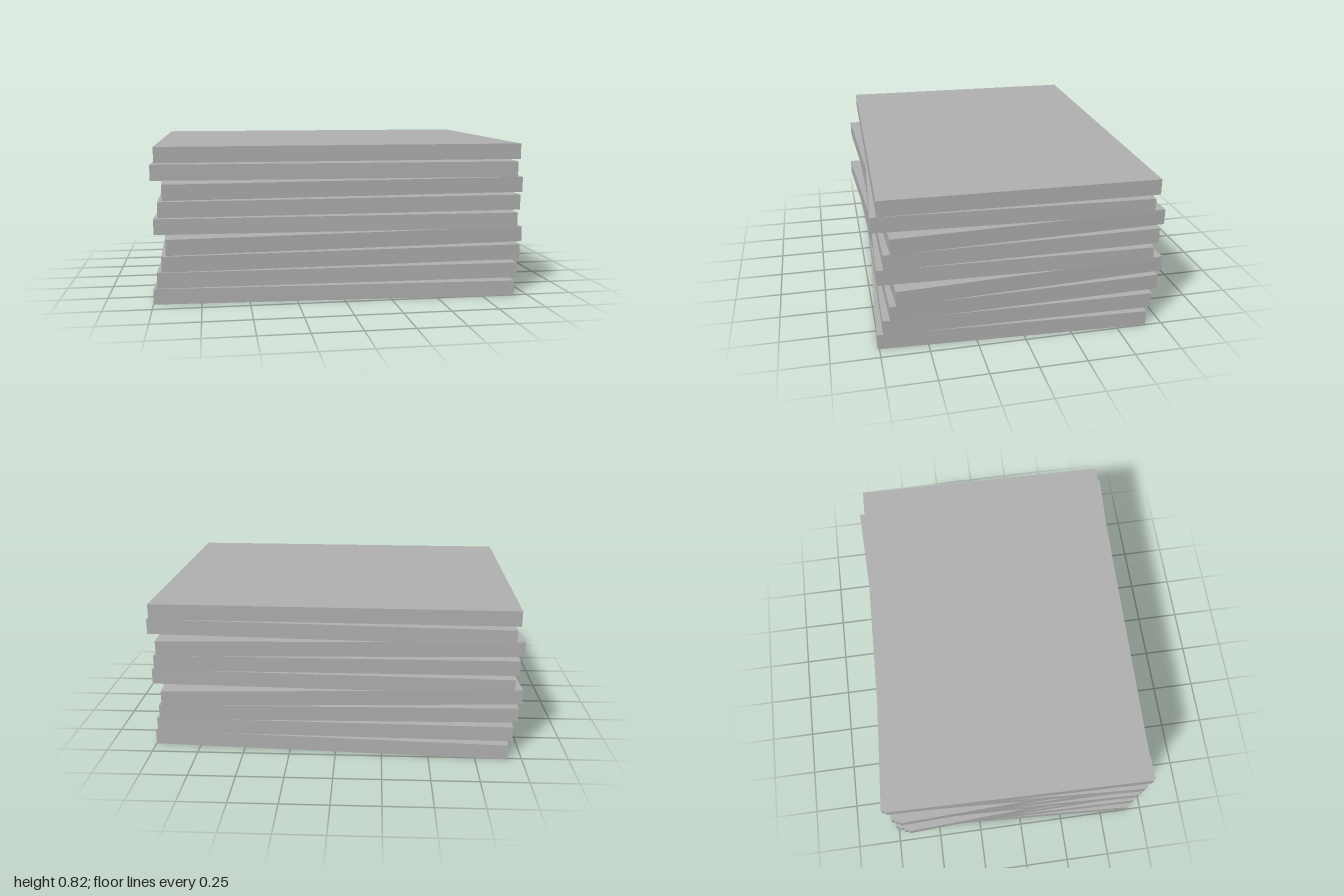
import * as THREE from 'three';

export function createModel() {
  const group = new THREE.Group();
  group.name = 'slabStack';

  const grey = new THREE.MeshStandardMaterial({ color: 0xb0b0b0 });
  grey.name = 'plain grey';

  // One slab, stacked with narrow gaps
  const thickness = 0.082;
  const pitch = 0.0926;
  const slab = new THREE.BoxGeometry(1.925, thickness, 1.422);

  // Slight twist of each slab in degrees, bottom to top
  const twists = [-3, -1.1, 1.1, 3, -2, 0, 2, -3, -1.1];
  twists.forEach((degrees, i) => {
    const mesh = new THREE.Mesh(slab, grey);
    mesh.name = `slab${i + 1}`;
    mesh.position.y = thickness / 2 + i * pitch;
    mesh.rotation.y = THREE.MathUtils.degToRad(degrees);
    group.add(mesh);
  });

  return group;
}
